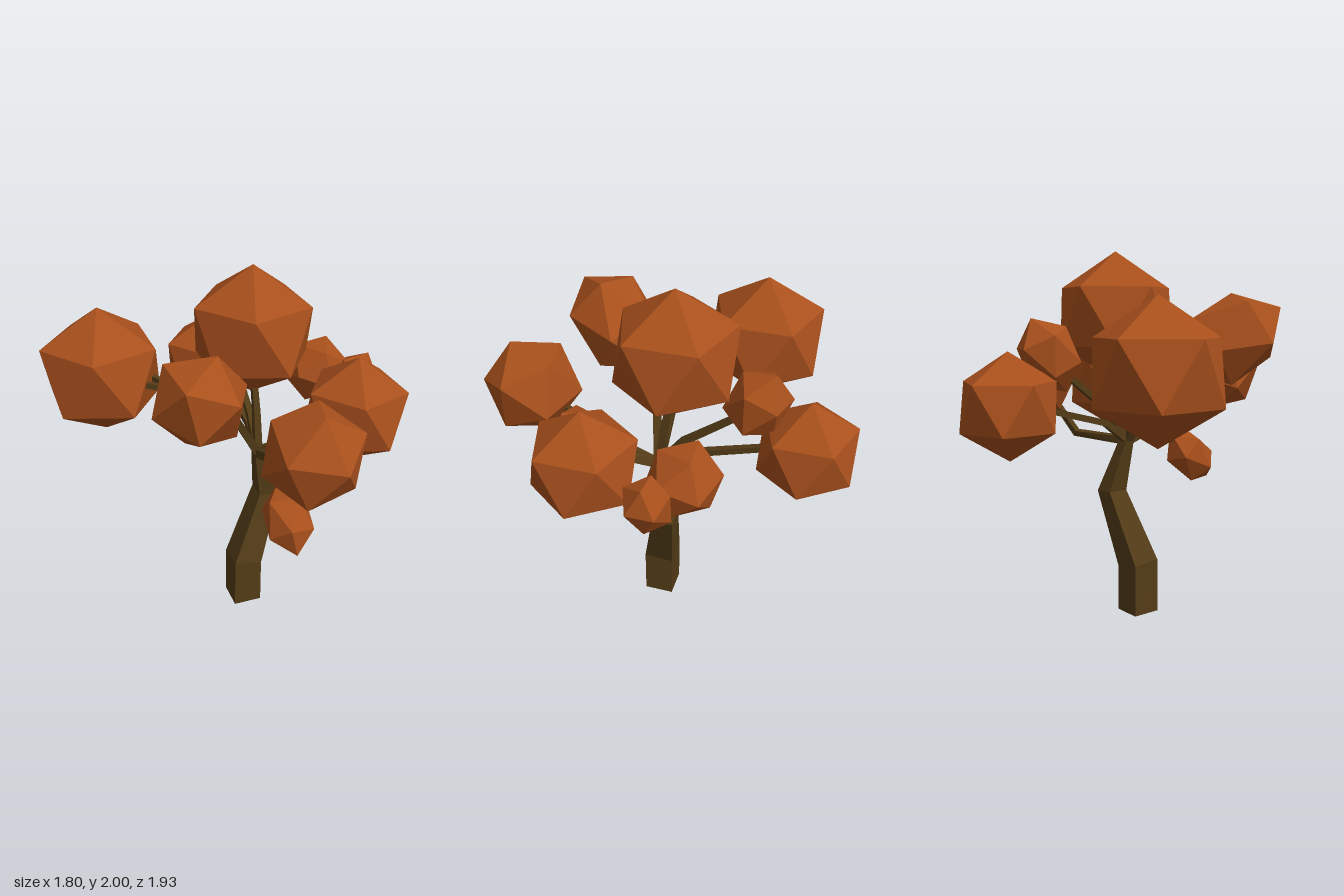
import * as THREE from 'three';

const bark = new THREE.MeshStandardMaterial({ color: 0x533c17, flatShading: true });
const leaf = new THREE.MeshStandardMaterial({ color: 0xa9501c, flatShading: true });
const UP = new THREE.Vector3(0, 1, 0);

// Square-section limb along points [x, y, z, halfWidth], mitred at every bend
function limb(name, points) {
  const p = points.map((q) => new THREE.Vector3(q[0], q[1], q[2]));
  const last = p.length - 1;
  const whole = p[last].clone().sub(p[0]);
  const ref = Math.abs(whole.z) > 0.8 * whole.length()
    ? new THREE.Vector3(1, 0, 0) : new THREE.Vector3(0, 0, 1);
  const pos = [], index = [];
  p.forEach((c, i) => {
    const t = new THREE.Vector3();
    if (i > 0) t.add(c.clone().sub(p[i - 1]).normalize());
    if (i < last) t.add(p[i + 1].clone().sub(c).normalize());
    t.normalize();
    if (i === 0 && name === 'trunk') t.copy(UP);
    const u = ref.clone().cross(t).normalize();
    const v = t.clone().cross(u);
    for (const [a, b] of [[1, 1], [-1, 1], [-1, -1], [1, -1]]) {
      const w = points[i][3];
      pos.push(...c.clone().addScaledVector(u, a * w).addScaledVector(v, b * w).toArray());
    }
    if (i === 0) return;
    for (let k = 0; k < 4; k++) {
      const a = (i - 1) * 4 + k, b = (i - 1) * 4 + (k + 1) % 4;
      index.push(a, b, b + 4, a, b + 4, a + 4);
    }
  });
  const e = last * 4;
  index.push(0, 2, 1, 0, 3, 2, e, e + 1, e + 2, e, e + 2, e + 3);
  const g = new THREE.BufferGeometry();
  g.setAttribute('position', new THREE.Float32BufferAttribute(pos, 3));
  g.setIndex(index);
  g.computeVertexNormals();
  const mesh = new THREE.Mesh(g, bark);
  mesh.name = name;
  return mesh;
}

// Icosahedron standing on a corner, stretched along and turned to an axis
function clump(name, center, radius, length = radius, axis = [0, 1, 0]) {
  const g = new THREE.IcosahedronGeometry(1, 0);
  g.rotateZ(-Math.atan(2 / (1 + Math.sqrt(5))));
  g.rotateY(Math.PI);
  g.scale(radius, length, radius);
  const mesh = new THREE.Mesh(g, leaf);
  mesh.quaternion.setFromUnitVectors(UP, new THREE.Vector3(...axis).normalize());
  mesh.position.set(...center);
  mesh.name = name;
  return mesh;
}

export function createModel() {
  const tree = new THREE.Group();
  tree.name = 'tree';

  // Bent, tapering trunk
  tree.add(limb('trunk', [
    [0.07, 0, 0.04, 0.08], [0.07, 0.28, 0.04, 0.08],
    [0.225, 0.68, -0.025, 0.058], [0.15, 0.99, 0.03, 0.027],
  ]));

  // Branches fan out from the trunk top
  const fork = [0.15, 0.97, 0.03, 0.022];
  const branches = {
    crownBranch: [[0.15, 1.2, 0, 0.018], [0.14, 1.5, -0.05, 0.014]],
    rightBranch: [[-0.06, 1.34, -0.01, 0.018], [-0.25, 1.37, -0.06, 0.016], [-0.5, 1.4, -0.2, 0.014]],
    backBranch: [[0.15, 1.08, -0.12, 0.018], [0.13, 1.18, -0.5, 0.016], [0.12, 1.2, -0.65, 0.014]],
    leftFrontBranch: [[0.28, 1.08, 0.14, 0.018], [0.5, 1.23, 0.24, 0.014]],
    frontBranch: [[0.15, 1.05, 0.22, 0.018], [0.15, 1.27, 0.6, 0.014]],
    rightFrontBranch: [[-0.01, 1.25, 0.09, 0.018], [-0.22, 1.48, 0.32, 0.014]],
    leftBackBranch: [[0.5, 0.985, -0.08, 0.018], [0.6, 1.22, -0.2, 0.014]],
    upperBackBranch: [[0.15, 1.15, -0.1, 0.018], [0.15, 1.4, -0.43, 0.014]],
    smallFrontBranch: [[0.24, 1.08, 0.21, 0.015], [0.31, 1.22, 0.37, 0.012]],
    lowBranch: [[0.15, 1.02, 0.2, 0.016], [0.14, 0.92, 0.4, 0.014]],
  };
  for (const [name, path] of Object.entries(branches)) tree.add(limb(name, [fork, ...path]));
  // Side twigs
  tree.add(limb('rightTwig', [[-0.24, 1.37, -0.06, 0.016], [-0.4, 1.4, -0.28, 0.013]]));
  tree.add(limb('leftTwig', [[0.53, 1.05, -0.11, 0.015], [0.74, 1.2, -0.12, 0.012]]));

  // Upright foliage clumps
  tree.add(clump('crownFoliage', [0.14, 1.655, -0.055], 0.345));
  tree.add(clump('rightFoliage', [-0.595, 1.41, -0.36], 0.35));
  tree.add(clump('backFoliage', [0.12, 1.215, -0.73], 0.275));
  tree.add(clump('leftFrontFoliage', [0.6, 1.273, 0.26], 0.293));

  // Foliage clumps leaning along their branches
  tree.add(clump('frontFoliage', [0.15, 1.345, 0.715], 0.26, 0.26, [0.055, 0.02, 0.25]));
  tree.add(clump('rightFrontFoliage', [-0.285, 1.54, 0.4], 0.24, 0.315, [-0.14, 0.17, 0.235]));
  tree.add(clump('leftBackFoliage', [0.6, 1.29, -0.235], 0.19, 0.19, [0.15, 0.3, -0.1]));
  tree.add(clump('leftSmallFoliage', [0.775, 1.25, -0.115], 0.13, 0.17, [0.15, 0.25, 0]));
  tree.add(clump('upperBackFoliage', [0.15, 1.46, -0.475], 0.165, 0.21, [0.03, 0.2, -0.09]));
  tree.add(clump('smallFrontFoliage', [0.32, 1.25, 0.395], 0.12, 0.13, [0.08, 0.2, 0.15]));
  tree.add(clump('lowFoliage', [0.14, 0.835, 0.485], 0.135, 0.195, [0, -0.14, 0.14]));

  return tree;
}
